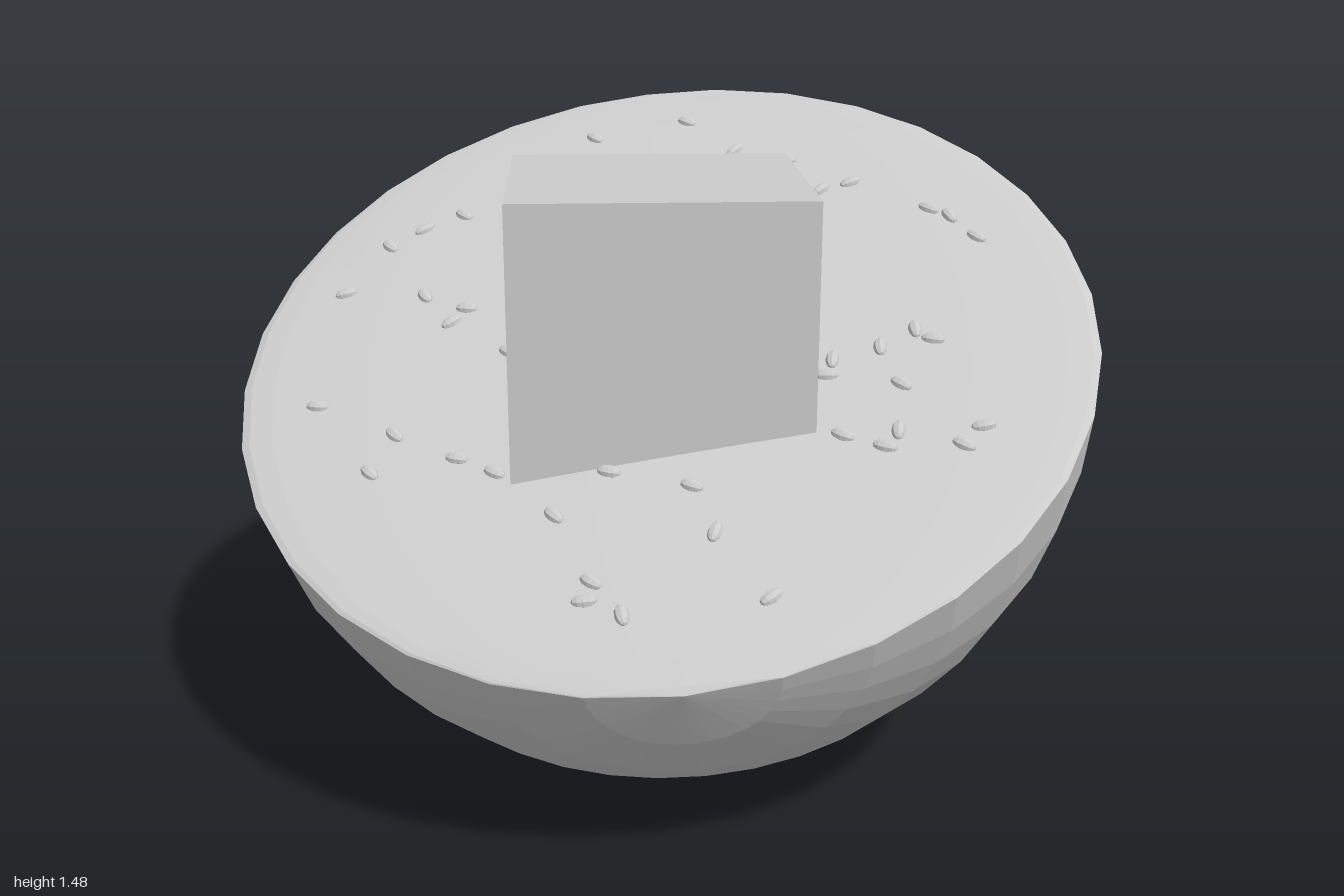
import * as THREE from 'three';

const DOME = 0.035; // height of the nearly flat cut face
const CENTRE = new THREE.Vector3(0, 1.003, 0.055);

// Seeds as x, z, turn in degrees, as seen from above
const SEEDS = [
  [-0.14, -0.66, -45], [0.105, -0.665, -40], [0.22, -0.52, 45], [-0.665, -0.385, -50], [-0.58, -0.425, 30],
  [-0.48, -0.45, -45], [0.3, -0.43, 20], [0.345, -0.45, -10], [0.42, -0.325, 40], [0.495, -0.335, 20],
  [-0.765, -0.25, 10], [-0.565, -0.19, -60], [-0.125, -0.27, 20], [0.67, -0.205, -40], [0.715, -0.17, -70],
  [0.765, -0.09, -50], [-0.46, -0.125, -15], [-0.495, -0.09, 35], [-0.355, 0.035, -40], [-0.8, 0.09, -15],
  [-0.61, 0.215, -50], [-0.66, 0.305, -50], [-0.465, 0.31, -20], [-0.38, 0.365, -35], [-0.25, 0.5, -50],
  [-0.13, 0.415, -20], [0.045, 0.485, -30], [0.085, 0.605, 70], [-0.175, 0.67, -40], [-0.19, 0.71, 0],
  [-0.115, 0.755, -80], [0.185, 0.77, 35], [0.38, 0.215, 80], [0.36, 0.255, -10], [0.49, 0.2, 85],
  [0.575, 0.165, 90], [0.61, 0.2, -20], [0.52, 0.31, -45], [0.375, 0.42, -35], [0.46, 0.465, -25],
  [0.495, 0.43, 80], [0.625, 0.49, -40], [0.675, 0.45, 5],
];

export function createModel() {
  const model = new THREE.Group();
  const material = new THREE.MeshStandardMaterial({ color: 0xcccccc, flatShading: true });

  // Tilted frame: local y is the normal of the cut face, local z runs down its slope
  const normal = new THREE.Vector3(-0.14, 0.873, 0.466).normalize();
  const slope = new THREE.Vector3(0, -0.5, 0.87);
  slope.addScaledVector(normal, -slope.dot(normal)).normalize();
  const side = new THREE.Vector3().crossVectors(normal, slope);
  const tilt = new THREE.Matrix4().makeBasis(side, normal, slope);
  const tilted = new THREE.Group();
  tilted.name = 'tiltedHalf';
  tilted.quaternion.setFromRotationMatrix(tilt);
  tilted.position.copy(CENTRE);
  model.add(tilted);

  // Half ball: a sphere with its upper half squashed to a shallow dome
  const ball = new THREE.SphereGeometry(1, 32, 16).rotateX(Math.PI / 2);
  const pos = ball.attributes.position;
  for (let i = 0; i < pos.count; i++) {
    if (pos.getY(i) > 0) pos.setY(i, pos.getY(i) * DOME);
  }
  ball.computeVertexNormals();
  const bowl = new THREE.Mesh(ball, material);
  bowl.name = 'halfBall';
  tilted.add(bowl);

  // Small seeds scattered over the cut face
  const seeds = new THREE.Group();
  seeds.name = 'seeds';
  tilted.add(seeds);
  const seedShape = new THREE.SphereGeometry(1, 8, 6).rotateZ(Math.PI / 2).scale(0.028, 0.013, 0.016);
  const inverse = tilt.clone().transpose();
  for (const [x, z, turn] of SEEDS) {
    const dz = z - CENTRE.z;
    const p = new THREE.Vector3(x, -(normal.x * x + normal.z * dz) / normal.y, dz).applyMatrix4(inverse);
    const seed = new THREE.Mesh(seedShape, material);
    seed.name = 'seed';
    seed.position.set(p.x, DOME * Math.sqrt(Math.max(0, 1 - p.x * p.x - p.z * p.z)), p.z);
    seed.rotation.y = THREE.MathUtils.degToRad(turn);
    seeds.add(seed);
  }

  // Upright cube sunk into the face
  const cube = new THREE.Mesh(new THREE.BoxGeometry(0.665, 0.665, 0.665), material);
  cube.name = 'cube';
  cube.position.set(-0.016, 1.067, 0.085);
  model.add(cube);

  return model;
}
